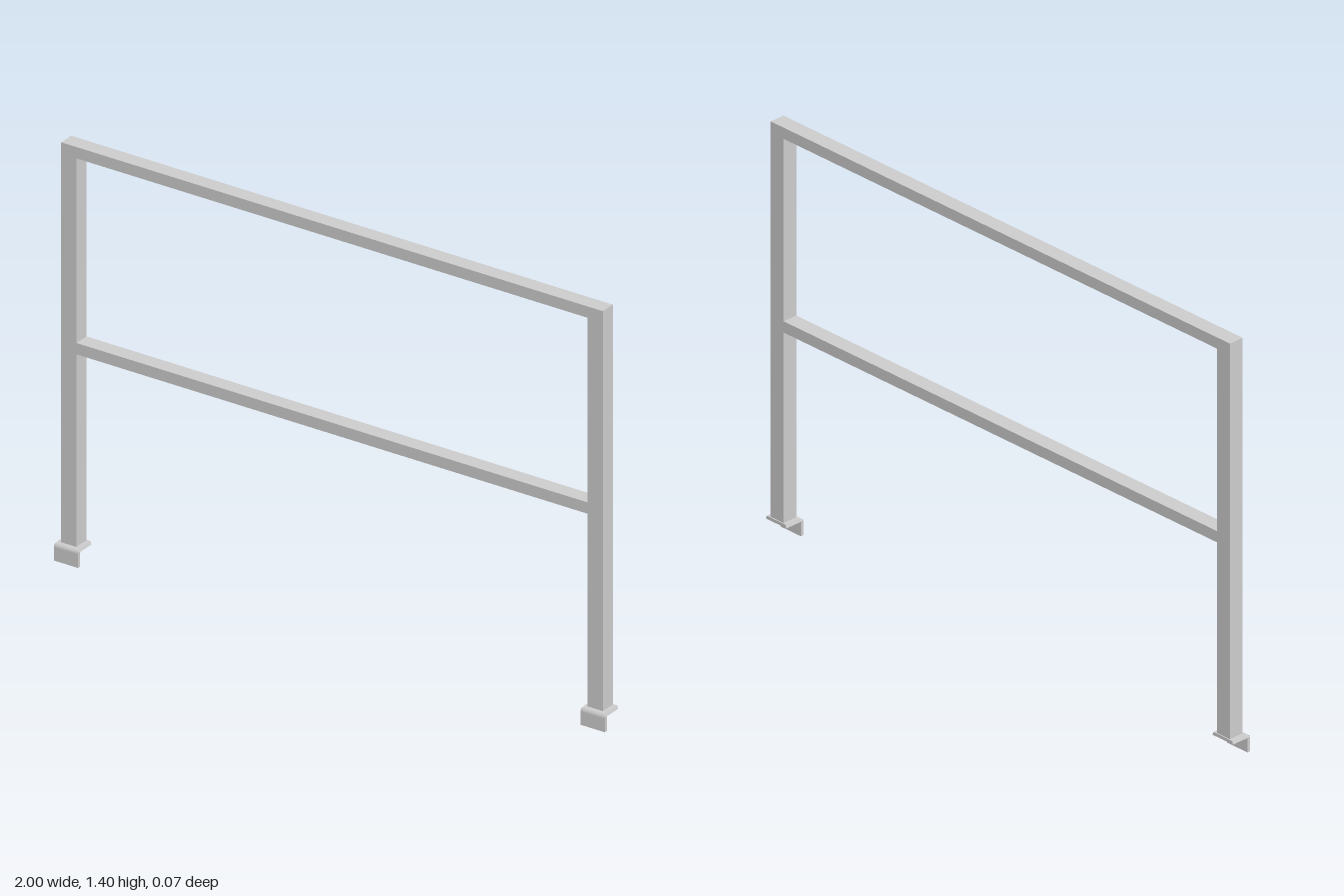
import * as THREE from 'three';

const grey = new THREE.MeshStandardMaterial({ color: 0xcccccc, flatShading: true });

// Frame tubing: outer half width, tube width and depth, centre in z
const HALF = 0.983, TUBE = 0.055, DEPTH = 0.053, Z = -0.004;

function bar(name, width, height, x, bottom) {
  const mesh = new THREE.Mesh(new THREE.BoxGeometry(width, height, DEPTH), grey);
  mesh.name = name;
  mesh.position.set(x, bottom + height / 2, Z);
  return mesh;
}

// Bent angle plate: flat under the post, flange hanging down at the front
function footBracket(name, x) {
  const width = 0.088, front = 0.037, back = -0.034, top = 0.06, t = 0.011, r = 0.015;
  const s = new THREE.Shape(); // drawn as (z, y)
  s.moveTo(back, top);
  s.lineTo(back, top - t);
  s.lineTo(front - t - 0.004, top - t);
  s.quadraticCurveTo(front - t, top - t, front - t, top - t - 0.004);
  s.lineTo(front - t, 0);
  s.lineTo(front, 0);
  s.lineTo(front, top - r);
  s.absarc(front - r, top - r, r, 0, Math.PI / 2, false);
  s.closePath();
  const geo = new THREE.ExtrudeGeometry(s, { depth: width, bevelEnabled: false, curveSegments: 5 });
  geo.translate(0, 0, -width / 2);
  geo.rotateY(-Math.PI / 2); // profile z to +z, width along x
  // Slightly narrower upper edge
  const p = geo.attributes.position;
  for (let i = 0; i < p.count; i++) {
    if (p.getY(i) > top - 0.004) p.setX(i, p.getX(i) - Math.sign(p.getX(i)) * 0.004);
  }
  geo.computeVertexNormals();
  const mesh = new THREE.Mesh(geo, grey);
  mesh.name = name;
  mesh.position.x = x;
  return mesh;
}

export function createModel() {
  const group = new THREE.Group();
  group.name = 'guardRail';

  // Rails
  group.add(bar('topRail', 2 * HALF, 0.038, 0, 1.363));
  group.add(bar('middleRail', 2 * (HALF - TUBE), 0.038, 0, 0.706));

  // Posts with their foot brackets
  for (const [side, label] of [[1, 'left'], [-1, 'right']]) {
    group.add(bar(label + 'Post', TUBE, 1.363 - 0.06, side * (HALF - TUBE / 2), 0.06));
    group.add(footBracket(label + 'FootBracket', side * 0.956));
  }
  return group;
}
